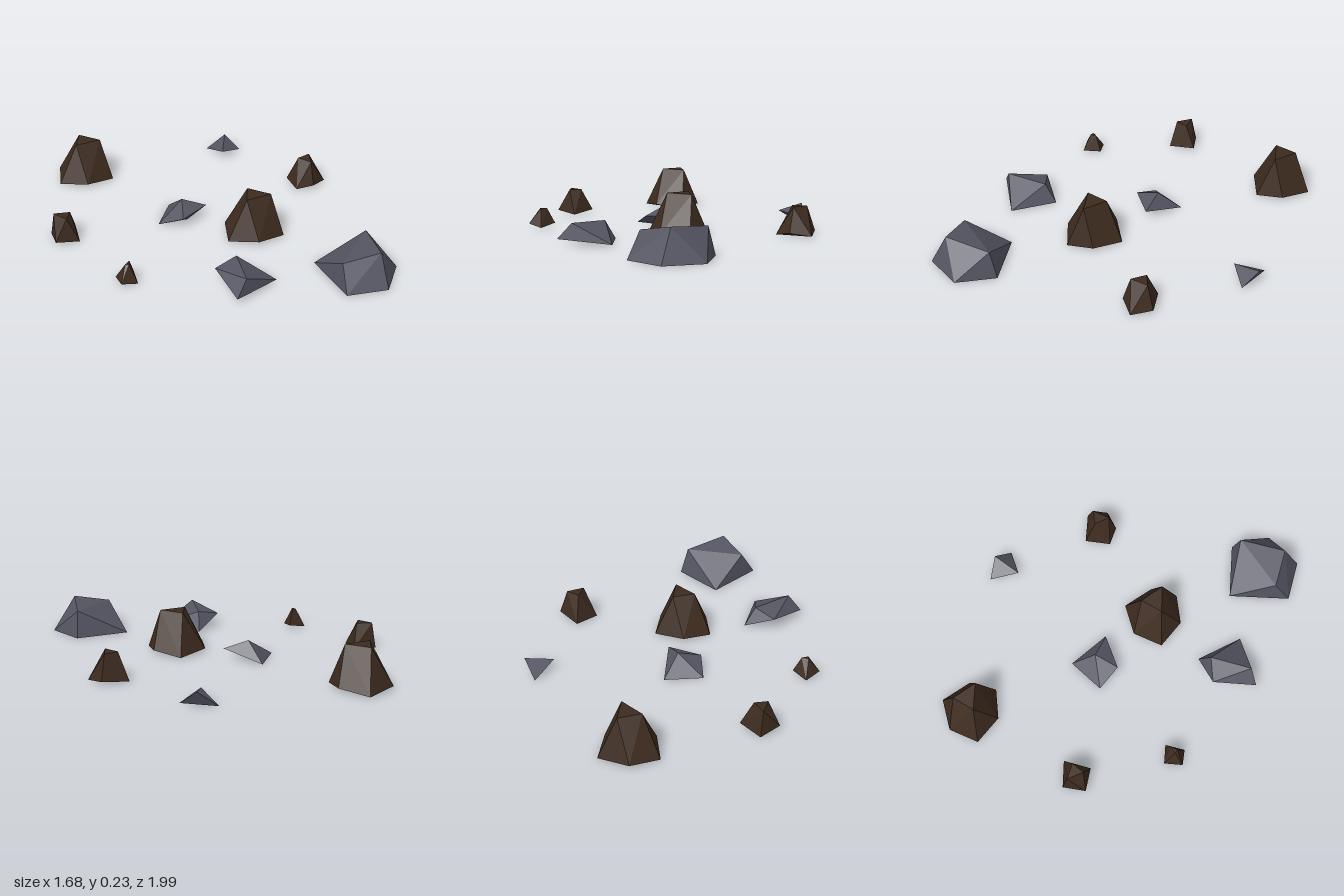
import * as THREE from 'three';
import { ConvexGeometry } from 'three/addons/geometries/ConvexGeometry.js';

const brown = new THREE.MeshStandardMaterial({ color: 0x3d2b1f });
brown.name = 'brownStone';
const grey = new THREE.MeshStandardMaterial({ color: 0x555563 });
grey.name = 'greyStone';

// Faceted stone: the hull of a few [x, y, z] corners
function stone(name, material, corners) {
  const geometry = new ConvexGeometry(corners.map((c) => new THREE.Vector3(...c)));
  const mesh = new THREE.Mesh(geometry, material);
  mesh.name = name;
  return mesh;
}

// Tapered stump: foot corners [x, z] alternate on and just off the ground, crown corners share one height
function stump(name, height, foot, crown) {
  return stone(name, brown, [
    ...foot.map(([x, z], i) => [x, i % 2 ? 0.02 : 0.003, z]),
    ...crown.map(([x, z]) => [x, height, z]),
  ]);
}

export function createModel() {
  const group = new THREE.Group();
  group.name = 'scatteredRocks';

  // Two large stumps of the same shape
  const foot = [[-0.35, -1], [-0.25, -0.855], [-0.28, -0.706], [-0.45, -0.68], [-0.585, -0.786], [-0.525, -0.945]];
  const crown = [[-0.468, -0.795], [-0.318, -0.795], [-0.405, -0.908]];
  const backStump = stump('largeBackStump', 0.232, foot, crown);
  const middleStump = backStump.clone();
  middleStump.name = 'largeMiddleStump';
  middleStump.position.set(0.603, 0, 1);
  group.add(backStump, middleStump);

  // Three smaller stumps
  group.add(
    stump('rightStump', 0.145,
      [[-0.823, -0.304], [-0.68, -0.304], [-0.712, -0.156], [-0.844, -0.177]],
      [[-0.812, -0.275], [-0.725, -0.25], [-0.77, -0.19]]),
    stump('tinyStump', 0.105,
      [[-0.67, 0.246], [-0.57, 0.25], [-0.59, 0.357], [-0.68, 0.347]],
      [[-0.635, 0.3], [-0.603, 0.28], [-0.62, 0.315]]),
    stump('leftStump', 0.157,
      [[0.653, -0.246], [0.807, -0.24], [0.839, -0.124], [0.733, -0.071], [0.638, -0.103]],
      [[0.693, -0.19], [0.774, -0.205], [0.735, -0.112]]),
  );

  // Four grey shards
  group.add(
    stone('backShard', grey, [
      [0.389, 0.003, -0.786], [0.5, 0.086, -0.76], [0.558, 0.01, -0.675], [0.415, 0.053, -0.622],
    ]),
    stone('middleShard', grey, [
      [-0.108, 0, -0.288], [0.04, 0.06, -0.103], [-0.14, 0.055, -0.029], [-0.25, 0, -0.124],
      [-0.087, 0.105, -0.156], [-0.08, 0, -0.1],
    ]),
    stone('frontShard', grey, [
      [-0.214, 0.075, 0.505], [-0.055, 0, 0.426], [0.071, 0.01, 0.659], [-0.209, 0.03, 0.749],
      [-0.08, 0.105, 0.49], [-0.14, 0.115, 0.715],
    ]),
    stone('largeShard', grey, [
      [0.336, 0, 0.6], [0.643, 0, 0.611], [0.712, 0, 0.828], [0.553, 0, 0.992], [0.331, 0, 0.939],
      [0.553, 0.176, 0.9], [0.352, 0.14, 0.85], [0.622, 0.153, 0.65],
    ]),
  );
  return group;
}
